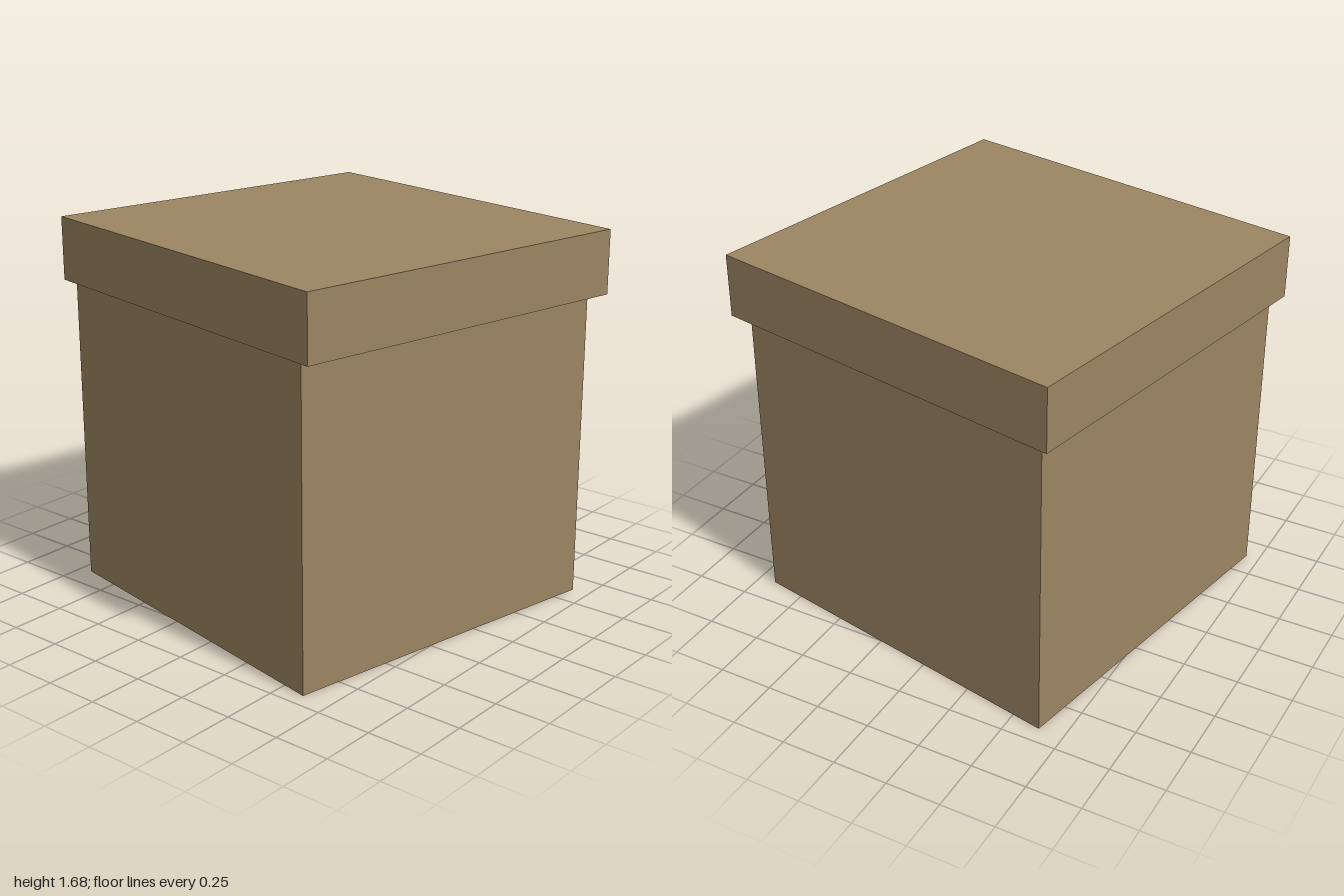
import * as THREE from 'three';

export function createModel() {
  const group = new THREE.Group();
  const material = new THREE.MeshStandardMaterial({ color: 0x9c8562 });

  function addBox(name, width, depth, bottom, top, x, z) {
    const mesh = new THREE.Mesh(new THREE.BoxGeometry(width, top - bottom, depth), material);
    mesh.name = name;
    mesh.position.set(x, (bottom + top) / 2, z);
    mesh.rotation.y = -0.192; // the whole box stands slightly turned
    group.add(mesh);
  }

  // Square body with an overhanging lid
  addBox('boxBody', 1.584, 1.584, 0, 1.4, -0.01, 0.005);
  addBox('lid', 1.714, 1.655, 1.4, 1.685, 0, 0);

  return group;
}
